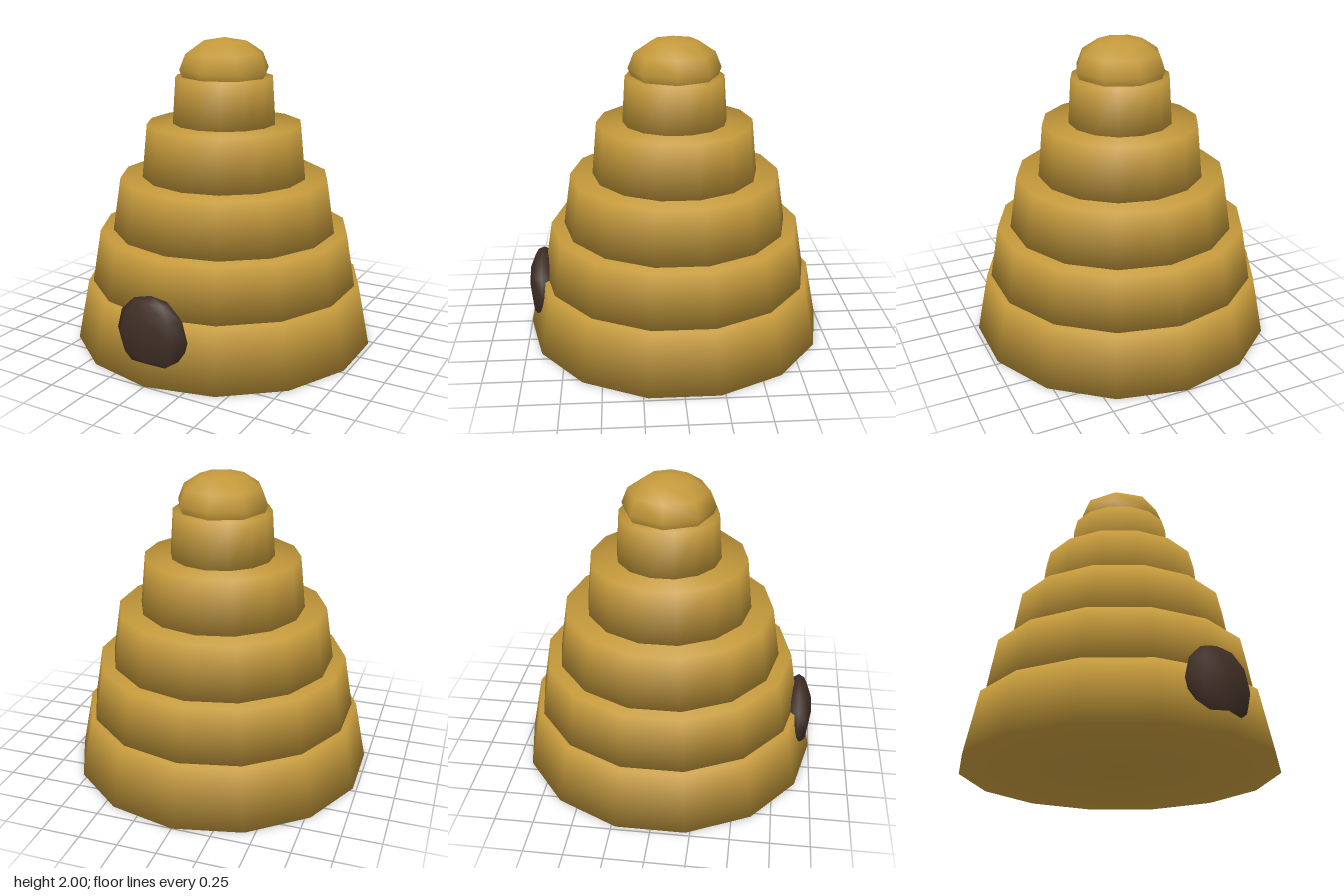
import * as THREE from 'three';
import { mergeVertices } from 'three/addons/utils/BufferGeometryUtils.js';

const straw = new THREE.MeshStandardMaterial({ color: 0xc4993b });
straw.name = 'straw';
const darkBrown = new THREE.MeshStandardMaterial({ color: 0x3f2e25 });
darkBrown.name = 'dark brown';

// Shares vertices across all edges so the shading rolls softly over the rims
function soften(geometry) {
  geometry.deleteAttribute('normal');
  geometry.deleteAttribute('uv');
  const merged = mergeVertices(geometry, 1e-4);
  merged.computeVertexNormals();
  return merged;
}

function part(name, geometry, material) {
  const mesh = new THREE.Mesh(geometry, material);
  mesh.name = name;
  return mesh;
}

export function createModel() {
  const hive = new THREE.Group();
  hive.name = 'beehive';

  // Stacked coils: base height, top height, base radius, top radius
  const tiers = [
    [0, 0.4, 1, 0.92],
    [0.4, 0.75, 0.89, 0.83],
    [0.75, 1.1, 0.745, 0.69],
    [1.1, 1.45, 0.545, 0.51],
    [1.45, 1.75, 0.34, 0.32],
  ];
  tiers.forEach(([y0, y1, r0, r1], i) => {
    const geometry = soften(new THREE.CylinderGeometry(r1, r0, y1 - y0, 14));
    const tier = part(`tier${i + 1}`, geometry, straw);
    tier.position.y = (y0 + y1) / 2;
    hive.add(tier);
  });

  // Squashed dome on top
  const dome = part('dome', new THREE.SphereGeometry(1, 8, 6), straw);
  dome.scale.set(0.3, 0.2, 0.3);
  dome.position.y = 1.8;
  hive.add(dome);

  // Dark entrance bulging from the lowest coils
  const entrance = part('entrance', new THREE.SphereGeometry(1, 8, 6), darkBrown);
  entrance.scale.set(0.25, 0.25, 0.1);
  entrance.position.set(0, 0.3, 0.9);
  hive.add(entrance);

  return hive;
}
